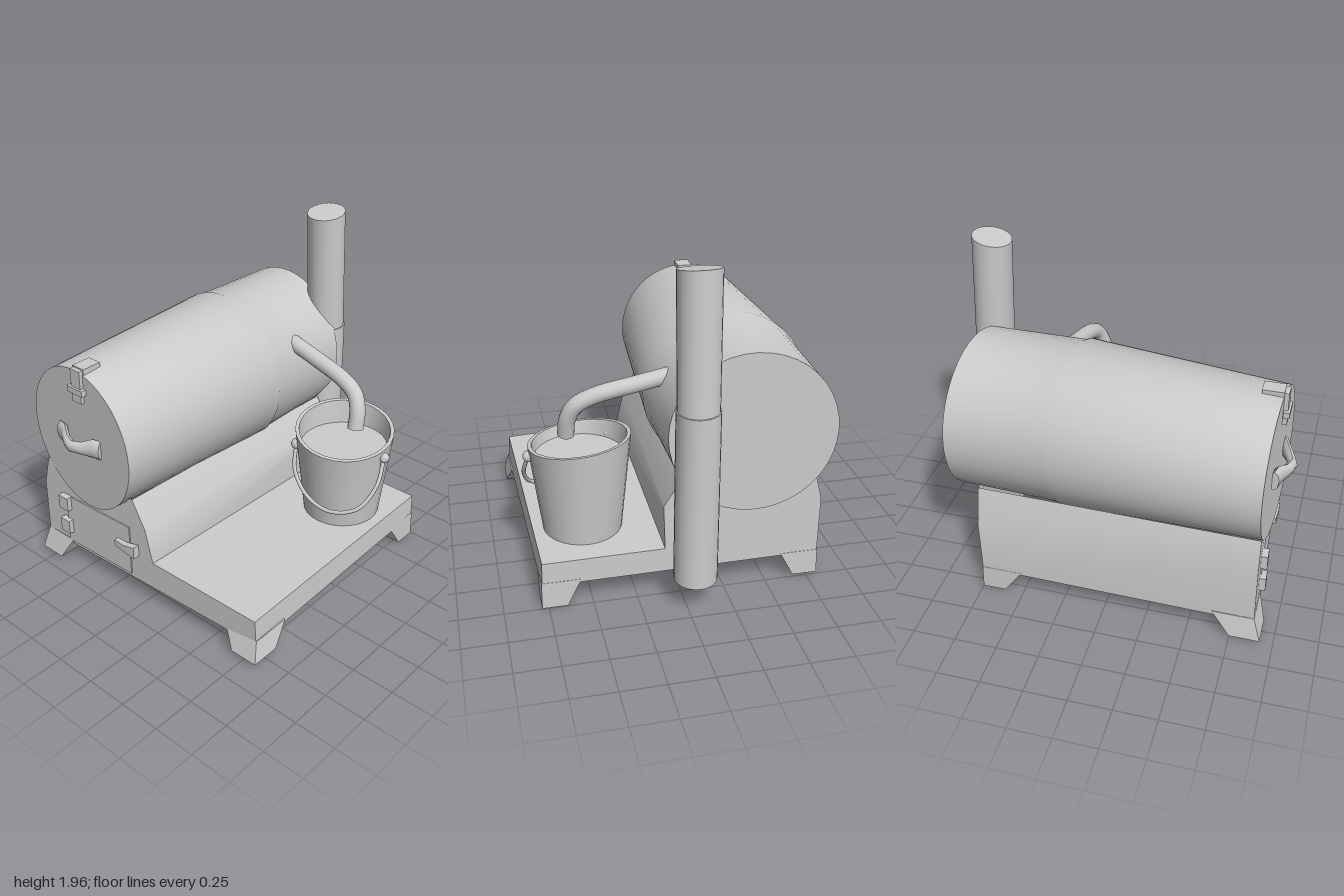
import * as THREE from 'three';
import { toCreasedNormals } from 'three/addons/utils/BufferGeometryUtils.js';

const V = (x, y, z) => new THREE.Vector3(x, y, z);

// Ring of points around an axis; sa and sb tilt the ring plane
function ring(axis, cx, cy, cz, ra, rb = ra, n = 32, sa = 0, sb = 0) {
  return Array.from({ length: n }, (_, i) => {
    const t = ((i + (n === 4 ? 0.5 : 0)) / n) * Math.PI * 2;
    const a = ra * Math.cos(t), b = rb * Math.sin(t);
    if (axis === 'z') return V(cx + a, cy + b, cz + sa * a + sb * b);
    if (axis === 'y') return V(cx + a, cy + sa * a - sb * b, cz - b);
    return V(cx, cy + a, cz + b);
  });
}

// Skin over a row of rings, with both ends closed
function loft(rings, crease = 0.6) {
  const n = rings[0].length, pts = rings.flat(), idx = [];
  for (let k = 0; k < rings.length - 1; k++) {
    for (let i = 0; i < n; i++) {
      const a = k * n + i, b = k * n + (i + 1) % n;
      idx.push(a, b, b + n, a, b + n, a + n);
    }
  }
  [[0, true], [rings.length - 1, false]].forEach(([k, flip]) => {
    const c = pts.length;
    pts.push(rings[k].reduce((s, p) => s.add(p), V(0, 0, 0)).divideScalar(n));
    for (let i = 0; i < n; i++) {
      const a = k * n + i, b = k * n + (i + 1) % n;
      idx.push(...(flip ? [c, b, a] : [c, a, b]));
    }
  });
  const g = new THREE.BufferGeometry().setFromPoints(pts);
  g.setIndex(idx);
  return toCreasedNormals(g, crease);
}

export function createModel() {
  const model = new THREE.Group();
  const metal = new THREE.MeshStandardMaterial({ color: 0xcccccc, side: THREE.DoubleSide });
  metal.name = 'grey metal';
  const add = (name, geo, parent = model) => {
    const m = new THREE.Mesh(geo, metal);
    m.name = name;
    parent.add(m);
    return m;
  };
  const box = (name, w, h, d, x, y, z, parent) => {
    const m = add(name, new THREE.BoxGeometry(w, h, d), parent);
    m.position.set(x, y, z);
    return m;
  };

  // Boiler: slightly tapered drum with a lip near the back
  add('boiler', loft([
    ring('z', -0.365, 1.012, -0.85, 0.458, 0.463, 40, 0.088),
    ring('z', -0.375, 1.006, -0.275, 0.47, 0.47, 40, 0.06),
    ring('z', -0.375, 1.006, -0.25, 0.481, 0.479, 40, 0.06),
    ring('z', -0.42, 0.967, 0.9, 0.425, 0.437, 40, 0.06),
  ]));

  // Base: firebox and platform as one open-bottomed shell
  const back = [[-0.81, 0.15], [-0.815, 0.5], [-0.76, 0.72], [0, 0.72], [0.1, 0.56],
    [0.09, 0.29], [0.78, 0.285], [0.785, 0.14]];
  const front = [[-0.82, 0.13], [-0.815, 0.5], [-0.765, 0.69], [-0.07, 0.69], [0.02, 0.52],
    [0.07, 0.31], [0.815, 0.29], [0.825, 0.13]];
  const frontZ = x => 0.85 - 0.04 * x;
  const shell = [], open = 2; // the side under the boiler stays open
  for (let i = 0; i < back.length - 1; i++) {
    if (i === open) continue;
    const [a, b] = [back[i], back[i + 1]].map(p => V(p[0], p[1], -0.74));
    const [c, d] = [front[i], front[i + 1]].map(p => V(p[0], p[1], frontZ(p[0])));
    shell.push(a, c, d, a, d, b);
  }
  add('base', toCreasedNormals(new THREE.BufferGeometry().setFromPoints(shell), 0.5));
  const wall = (name, section, zAt) => {
    const g = new THREE.ShapeGeometry(new THREE.Shape(section.map(p => new THREE.Vector2(...p))));
    const p = g.attributes.position;
    for (let i = 0; i < p.count; i++) p.setZ(i, zAt(p.getX(i)));
    g.computeVertexNormals();
    add(name, g);
  };
  wall('frontWall', front, frontZ);
  wall('backWall', back, () => -0.74);

  // Feet: splayed corner blocks
  [[-1, 1, -0.82, 0.88, 0.02], [1, 1, 0.825, 0.815, 0.04],
    [-1, -1, -0.81, -0.74, 0.01], [1, -1, 0.785, -0.74, 0]].forEach(([sx, sz, x, z, y]) => {
    const g = new THREE.BoxGeometry(1, 1, 1).toNonIndexed();
    const p = g.attributes.position;
    const out = sz > 0 ? 0.03 : 0.004;
    for (let i = 0; i < p.count; i++) {
      const top = p.getY(i) > 0;
      const ox = p.getX(i) * sx > 0, oz = p.getZ(i) * sz > 0;
      p.setXYZ(i,
        x + sx * (ox ? (top ? 0.002 : out) : (top ? -0.22 : -0.14)),
        top ? 0.16 : y,
        z + sz * (oz ? (top ? 0.002 : out * 1.5) : (top ? -0.24 : -0.13)));
    }
    g.computeVertexNormals();
    add('foot', g);
  });

  // Chimney: lower pipe and leaning upper pipe with a slanted top
  add('chimneyLower', loft([
    ring('y', -0.052, 0.17, -0.868, 0.122, 0.125, 24),
    ring('y', -0.052, 1.19, -0.868, 0.12, 0.122, 24),
  ]));
  add('chimneyUpper', loft([
    ring('y', -0.052, 1.15, -0.868, 0.114, 0.115, 24),
    ring('y', -0.055, 1.94, -0.829, 0.118, 0.111, 24, 0, -0.2),
  ]));

  // Outlet pipe bending down into the bucket
  const pipe = new THREE.CatmullRomCurve3([V(-0.02, 1.225, -0.46), V(0.2, 1.175, -0.445),
    V(0.42, 1.12, -0.425), V(0.52, 1.065, -0.41), V(0.565, 0.98, -0.385), V(0.575, 0.87, -0.36)]);
  add('outletPipe', new THREE.TubeGeometry(pipe, 32, 0.048, 14));

  // Bucket with a tilted rim and liquid inside
  const bucket = new THREE.Group();
  bucket.name = 'bucket';
  model.add(bucket);
  add('pail', loft([
    ring('y', 0.497, 0.28, -0.367, 0.228, 0.235, 28),
    ring('y', 0.5, 0.838, -0.36, 0.292, 0.302, 28, -0.1, -0.115),
    ring('y', 0.5, 0.838, -0.36, 0.27, 0.28, 28, -0.1, -0.115),
    ring('y', 0.5, 0.73, -0.36, 0.258, 0.265, 28),
  ]), bucket);
  const ears = [V(0.3, 0.75, -0.15), V(0.79, 0.755, -0.36)];
  ears.forEach(e => {
    const ear = add('ear', new THREE.SphereGeometry(0.032, 12, 8), bucket);
    ear.position.copy(e);
  });
  const bail = new THREE.CatmullRomCurve3([ears[0], V(0.335, 0.6, -0.1), V(0.46, 0.48, -0.07),
    V(0.62, 0.437, -0.085), V(0.76, 0.48, -0.16), V(0.812, 0.61, -0.27), ears[1]]);
  add('bail', new THREE.TubeGeometry(bail, 40, 0.012, 8), bucket);

  // Firebox door with hinges and a handle
  const door = new THREE.Group();
  door.name = 'door';
  door.position.set(-0.365, 0.32, frontZ(-0.365));
  door.rotation.y = 0.04;
  model.add(door);
  box('doorPanel', 0.525, 0.33, 0.012, 0, 0, 0.002, door);
  for (const y of [0.12, -0.045]) box('hinge', 0.075, 0.09, 0.045, -0.26, y, 0.015, door);
  add('doorHandle', loft([
    ring('x', 0.17, 0.035, 0.025, 0.028, 0.02, 4),
    ring('x', 0.25, 0.035, 0.03, 0.032, 0.025, 4),
    ring('x', 0.33, 0.035, 0.025, 0.054, 0.03, 4),
  ], 0.3), door);

  // Lid grip: bowed bar with wide ends
  add('lidGrip', loft([
    [-0.59, 0.965, 0.9, 0.06], [-0.535, 0.968, 0.915, 0.062], [-0.47, 0.962, 0.955, 0.04],
    [-0.41, 0.96, 0.975, 0.036], [-0.35, 0.962, 0.955, 0.04], [-0.285, 0.968, 0.92, 0.062],
    [-0.235, 0.965, 0.905, 0.06],
  ].map(([x, y, z, r]) => ring('x', x, y, z, r, 0.028, 8)), 0.9));

  // Lid latch: strap over the top edge with a catch
  const latch = new THREE.Group();
  latch.name = 'latch';
  model.add(latch);
  box('strapTop', 0.09, 0.035, 0.12, -0.39, 1.415, 0.84, latch);
  box('strapFront', 0.075, 0.2, 0.03, -0.39, 1.325, 0.91, latch);
  box('catch', 0.12, 0.035, 0.035, -0.39, 1.3, 0.92, latch);

  return model;
}
